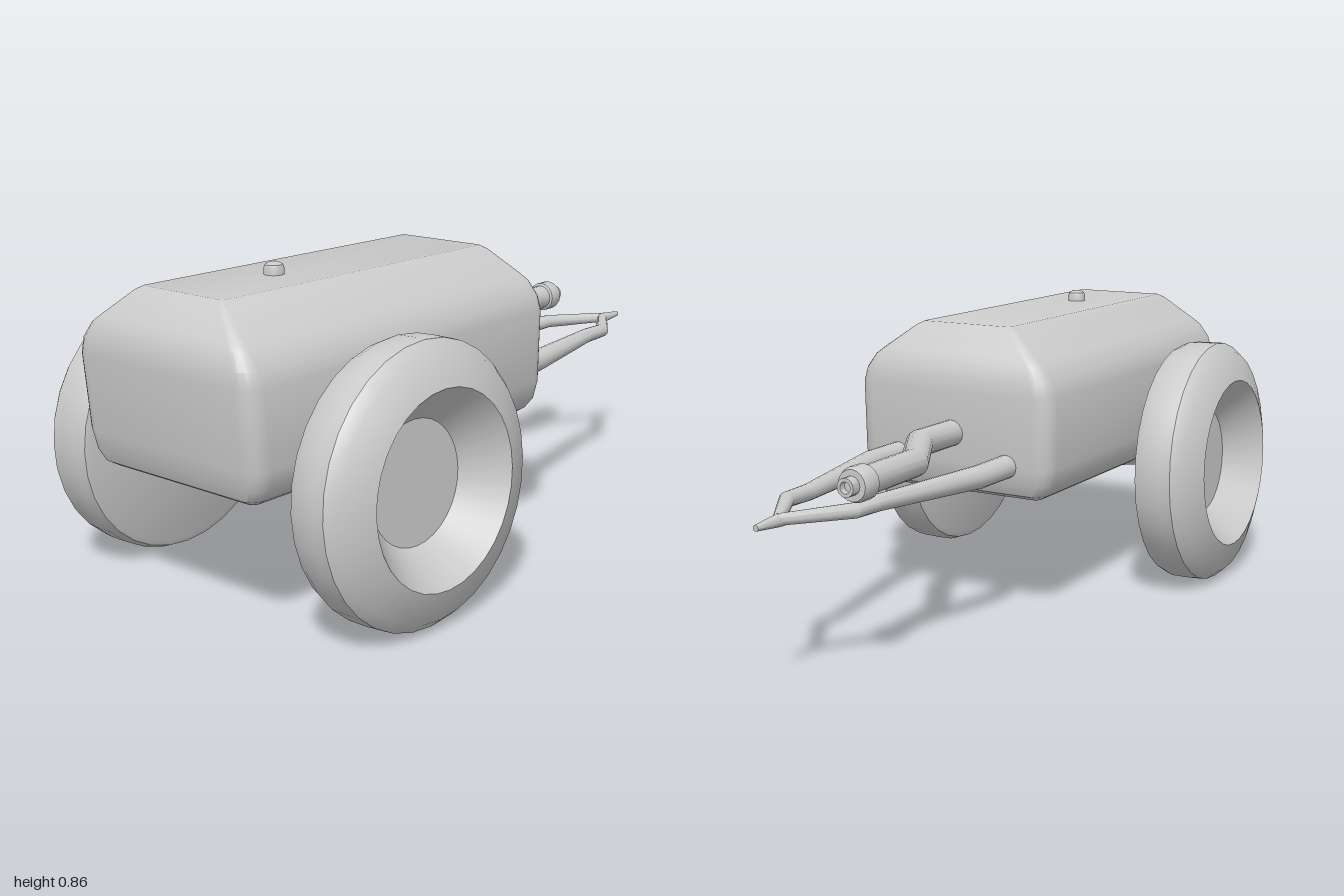
import * as THREE from 'three';
import { toCreasedNormals } from 'three/addons/utils/BufferGeometryUtils.js';

const material = new THREE.MeshStandardMaterial({ color: 0xcccccc });

function add(parent, name, geometry, x = 0, y = 0, z = 0) {
  const mesh = new THREE.Mesh(toCreasedNormals(geometry, 0.55), material);
  mesh.name = name;
  mesh.position.set(x, y, z);
  parent.add(mesh);
  return mesh;
}

// Skin over a stack of equal rings, counter-clockwise about the direction of travel
function loft(rings) {
  const n = rings[0].length, pos = [], idx = [];
  rings.forEach(ring => ring.forEach(p => pos.push(...p)));
  for (let i = 0; i < rings.length - 1; i++) {
    for (let j = 0; j < n; j++) {
      const a = i * n + j, b = i * n + (j + 1) % n;
      idx.push(a, b, b + n, a, b + n, a + n);
    }
  }
  const last = (rings.length - 1) * n;
  for (let j = 1; j < n - 1; j++) {
    idx.push(0, j + 1, j, last, last + j, last + j + 1);
  }
  const g = new THREE.BufferGeometry();
  g.setAttribute('position', new THREE.Float32BufferAttribute(pos, 3));
  g.setIndex(idx);
  return g;
}

// Round bar with mitred bends along level points [x, z, radius]
function bar(points, y, sides = 16) {
  const dir = (a, b) => new THREE.Vector2(b[0] - a[0], b[1] - a[1]).normalize();
  return loft(points.map((p, i) => {
    const before = dir(points[Math.max(i - 1, 0)], points[Math.max(i, 1)]);
    const end = points.length - 1;
    const after = dir(points[Math.min(i, end - 1)], points[Math.min(i + 1, end)]);
    const t = before.clone().add(after).normalize();
    const wide = p[2] / t.dot(before);
    return Array.from({ length: sides }, (_, k) => {
      const a = k / sides * Math.PI * 2, s = Math.cos(a) * wide;
      return [p[0] + t.y * s, y + Math.sin(a) * p[2], p[1] - t.x * s];
    });
  }));
}

function lathe(points, sides) {
  return new THREE.LatheGeometry(points.map(p => new THREE.Vector2(...p)), sides);
}

// Level rectangle with rounded corners
function roundedRing(y, halfX, front, back, r) {
  const ring = [], steps = 4;
  const corners = [[1, front - r], [1, back + r], [-1, back + r], [-1, front - r]];
  corners.forEach(([side, z], c) => {
    for (let k = 0; k <= steps; k++) {
      const a = (c + k / steps) * Math.PI / 2;
      ring.push([side * (halfX - r) + Math.sin(a) * r, y, z + Math.cos(a) * r]);
    }
  });
  return ring;
}

export function createModel() {
  const group = new THREE.Group();

  // Tank body: height, half width, front z, back z, corner radius
  const levels = [
    [0.355, 0.25, 0.935, -0.095, 0.02],
    [0.37, 0.275, 0.96, -0.125, 0.035],
    [0.40, 0.298, 0.972, -0.14, 0.045],
    [0.45, 0.31, 0.98, -0.147, 0.05],
    [0.65, 0.31, 0.997, -0.155, 0.05],
    [0.69, 0.298, 0.995, -0.152, 0.045],
    [0.73, 0.27, 0.983, -0.14, 0.035],
    [0.75, 0.245, 0.97, -0.128, 0.03],
    [0.815, 0.16, 0.925, -0.08, 0.015],
    [0.825, 0.14, 0.91, -0.065, 0.01],
  ];
  add(group, 'tankBody', loft(levels.map(l => roundedRing(...l))));

  // Filler cap
  add(group, 'fillerCap', lathe(
    [[0, -0.01], [0.026, -0.01], [0.026, 0.017], [0.023, 0.025], [0.013, 0.031], [0, 0.032]], 16,
  ), 0.003, 0.825, 0.605);

  // Axle tapering towards both wheels, with its mounting plate
  const axle = lathe([[0, -0.4], [0.018, -0.4], [0.02, -0.36], [0.05, -0.16],
    [0.05, 0.16], [0.02, 0.36], [0.018, 0.4], [0, 0.4]], 20);
  axle.rotateZ(Math.PI / 2);
  add(group, 'axle', axle, 0, 0.365, 0.587);
  add(group, 'axleMount', new THREE.BoxGeometry(0.31, 0.025, 0.12), 0, 0.358, 0.587);

  // Dished wheels with slight camber and toe-in
  const wheelProfile = [
    [0, -0.088], [0.335, -0.088], [0.35, -0.082], [0.361, -0.055],
    [0.362, 0], [0.36, 0.03], [0.335, 0.06], [0.25, 0.092], [0.16, -0.01], [0, -0.01],
  ];
  for (const side of [1, -1]) {
    const g = lathe(wheelProfile, 32);
    g.rotateZ(-side * Math.PI / 2);
    const wheel = add(group, side > 0 ? 'leftWheel' : 'rightWheel', g, side * 0.46, 0.364, 0.587);
    wheel.rotation.set(0, -side * 0.02, side * 0.03);
  }

  // Two tow bars meeting at a pointed hitch
  const towBar = [[0.176, -0.1, 0.033], [0.176, -0.29, 0.032], [0.107, -0.66, 0.022],
    [0.105, -0.75, 0.02], [0, -0.915, 0.015]];
  for (const side of [1, -1]) {
    add(group, side > 0 ? 'leftTowBar' : 'rightTowBar',
      bar(towBar.map(([x, z, r]) => [side * x, z, r]), 0.453));
  }
  add(group, 'hitchTip', bar([[0, -0.9, 0.017], [0, -0.92, 0.016], [0, -1, 0.008]], 0.451));

  // Bent outlet pipe
  add(group, 'outletPipe', bar([[-0.003, -0.1, 0.037], [-0.003, -0.31, 0.037],
    [-0.125, -0.52, 0.037], [-0.137, -0.77, 0.037]], 0.53));

  // Pipe collar and hollow nozzle
  const nozzle = lathe([
    [0, 0], [0.036, 0], [0.045, 0.005], [0.045, 0.045], [0.04, 0.057], [0.024, 0.057],
    [0.024, 0.084], [0.015, 0.084], [0.015, 0.065], [0, 0.065],
  ], 16);
  nozzle.rotateX(-Math.PI / 2);
  add(group, 'pipeNozzle', nozzle, -0.137, 0.53, -0.75);

  return group;
}
